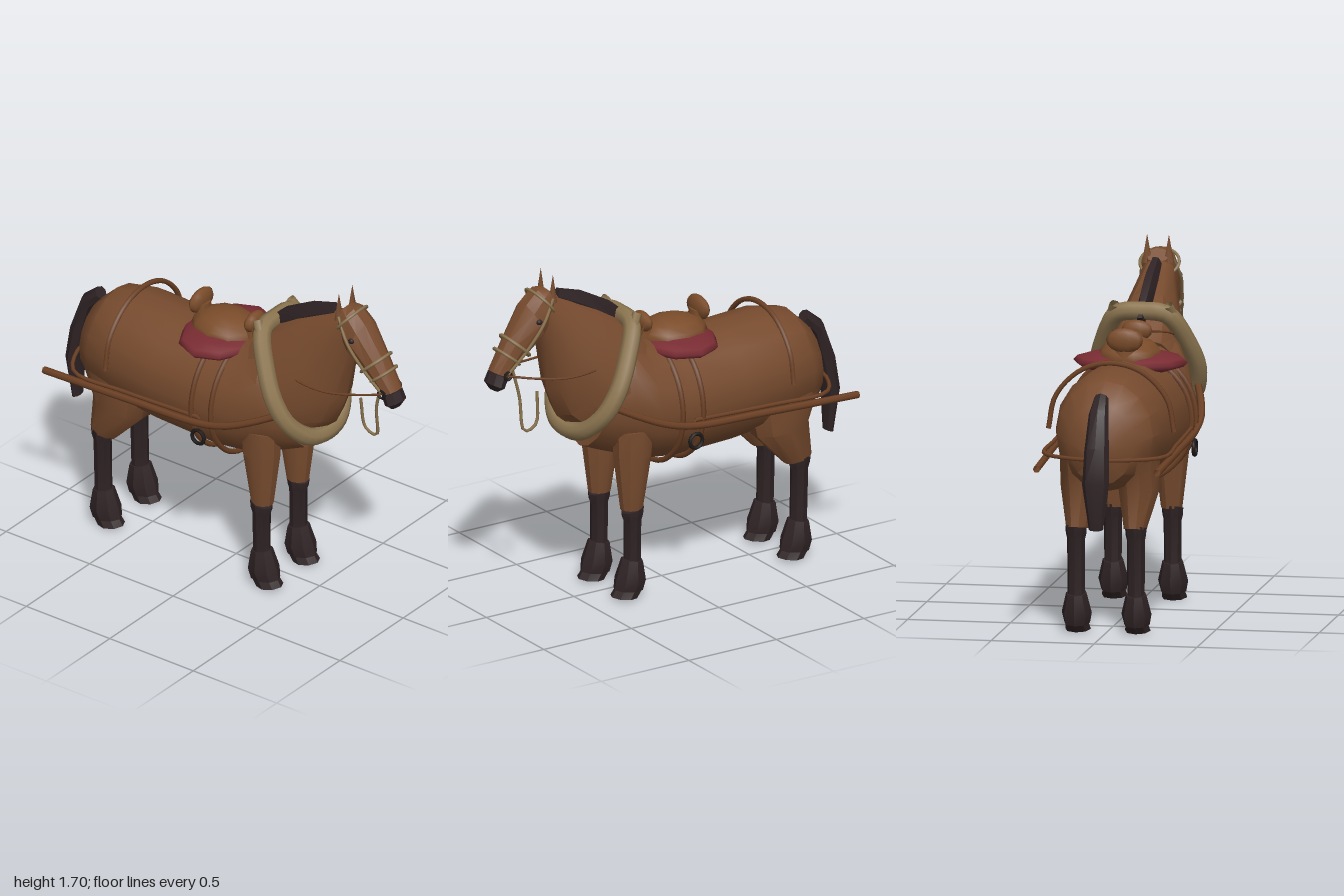
import * as THREE from 'three';
import { toCreasedNormals } from 'three/addons/utils/BufferGeometryUtils.js';

const mat = (name, color) => new THREE.MeshStandardMaterial({ name, color, side: THREE.DoubleSide });
const M = {
  coat: mat('coat brown', 0x774b2e),
  dark: mat('mane and hoof dark', 0x2f2325),
  tan: mat('collar tan', 0x8c7550),
  leather: mat('harness leather', 0x6d4125),
  saddle: mat('saddle leather', 0x7a4c2a),
  red: mat('blanket red', 0x792c33),
  iron: mat('iron', 0x1f1a1a),
};

// A section is [z, y, z, y, halfWidth]: two opposite points on the midline and a half width.
function ringPoint([az, ay, bz, by, w], t, x = 0) {
  const c = Math.cos(t), s = Math.sin(t);
  return new THREE.Vector3(x + w * c, (ay + by) / 2 + (ay - by) / 2 * s, (az + bz) / 2 + (az - bz) / 2 * s);
}

// Skin over a row of elliptical sections, closed at both ends
function loft(sections, sides, x = 0, crease = 0.6) {
  const pos = [], idx = [], n = sections.length;
  sections.forEach(s => {
    for (let j = 0; j < sides; j++) pos.push(...ringPoint(s, j / sides * Math.PI * 2, x).toArray());
  });
  for (let i = 0; i < n - 1; i++) {
    for (let j = 0; j < sides; j++) {
      const a = i * sides + j, b = i * sides + (j + 1) % sides;
      idx.push(a, b, b + sides, a, b + sides, a + sides);
    }
  }
  const last = (n - 1) * sides;
  for (let j = 1; j < sides - 1; j++) idx.push(0, j + 1, j, last, last + j, last + j + 1);
  const g = new THREE.BufferGeometry();
  g.setAttribute('position', new THREE.Float32BufferAttribute(pos, 3));
  g.setIndex(idx);
  return toCreasedNormals(g, crease);
}

export function createModel() {
  const root = new THREE.Group();
  root.name = 'harnessedHorse';

  const add = (name, geo, material, p = [0, 0, 0], s = [1, 1, 1], r = [0, 0, 0]) => {
    const m = new THREE.Mesh(geo, material);
    m.name = name;
    m.position.set(...p);
    m.scale.set(...s);
    m.rotation.set(...r);
    root.add(m);
    return m;
  };
  const tube = (name, pts, r, material, closed = false, sides = 6) => {
    const curve = new THREE.CatmullRomCurve3(pts.map(p => p.isVector3 ? p : new THREE.Vector3(...p)), closed, 'centripetal');
    return add(name, new THREE.TubeGeometry(curve, pts.length * 4, r, sides, closed), material);
  };
  const hoop = (name, section, r, material) => {
    const pts = [];
    for (let i = 0; i < 12; i++) pts.push(ringPoint(section, i / 12 * Math.PI * 2));
    return tube(name, pts, r, material, true, 5);
  };
  const mirrored = (pts, k) => pts.map(([x, y, z]) => [x * k, y, z]);
  const blob = new THREE.SphereGeometry(1, 10, 8);

  // Trunk, neck and head
  add('body', loft([
    [-0.87, 0.99, -0.865, 0.83, 0.07], [-0.81, 1.13, -0.83, 0.74, 0.16],
    [-0.71, 1.225, -0.74, 0.70, 0.235], [-0.55, 1.255, -0.57, 0.67, 0.268],
    [-0.3, 1.24, -0.33, 0.645, 0.28], [0, 1.235, 0, 0.632, 0.283],
    [0.18, 1.27, 0.16, 0.65, 0.27], [0.25, 1.33, 0.35, 0.72, 0.235],
    [0.32, 1.28, 0.47, 0.77, 0.18],
  ], 16), M.coat);
  add('neck', loft([
    [0.14, 1.29, 0.42, 0.80, 0.22], [0.24, 1.38, 0.60, 0.95, 0.19],
    [0.38, 1.47, 0.66, 1.10, 0.145], [0.55, 1.55, 0.70, 1.32, 0.10],
    [0.64, 1.59, 0.73, 1.44, 0.08],
  ], 12), M.coat);
  add('head', loft([
    [0.68, 1.63, 0.62, 1.57, 0.055], [0.725, 1.632, 0.64, 1.48, 0.085],
    [0.795, 1.57, 0.70, 1.38, 0.095], [0.90, 1.40, 0.795, 1.30, 0.073],
    [0.978, 1.26, 0.885, 1.215, 0.056],
  ], 10), M.coat);
  add('muzzle', loft([
    [0.98, 1.255, 0.885, 1.215, 0.054], [1.0, 1.205, 0.91, 1.165, 0.06], [0.975, 1.165, 0.94, 1.155, 0.035],
  ], 8), M.dark);

  // Mane along the crest, and the tail
  add('mane', loft([
    [0.18, 1.38, 0.24, 1.32, 0.02], [0.29, 1.48, 0.35, 1.36, 0.035],
    [0.45, 1.565, 0.5, 1.45, 0.035], [0.59, 1.605, 0.62, 1.53, 0.028],
  ], 6), M.dark);
  add('tail', loft([
    [-0.79, 1.13, -0.83, 1.185, 0.035], [-0.855, 1.06, -0.91, 1.12, 0.048],
    [-0.895, 0.9, -0.975, 0.94, 0.06], [-0.925, 0.75, -1.0, 0.77, 0.065],
    [-0.93, 0.55, -0.97, 0.54, 0.035],
  ], 8), M.dark);

  for (const k of [1, -1]) {
    const side = k > 0 ? 'left' : 'right';

    // Ears and eyes
    add(side + 'Ear', new THREE.ConeGeometry(0.027, 0.14, 6), M.coat, [k * 0.053, 1.632, 0.655], [1, 1, 0.7]);
    add(side + 'Eye', blob, M.dark, [k * 0.088, 1.49, 0.755], [0.012, 0.014, 0.016]);

    // Legs: upper leg, dark shank, feathered fetlock, hoof
    add(side + 'FrontLegUpper', loft([
      [0.36, 0.86, 0.14, 0.86, 0.085], [0.355, 0.72, 0.16, 0.72, 0.085], [0.32, 0.45, 0.205, 0.45, 0.052],
    ], 10, k * 0.14), M.coat);
    add(side + 'HindLegUpper', loft([
      [-0.38, 0.86, -0.80, 0.86, 0.10], [-0.43, 0.67, -0.735, 0.70, 0.10], [-0.61, 0.49, -0.757, 0.52, 0.055],
    ], 10, k * 0.14), M.coat);
    for (const [leg, top, foot, y] of [['Front', 0.263, 0.263, 0.455], ['Hind', -0.69, -0.685, 0.52]]) {
      const x = k * 0.145, z = foot;
      add(side + leg + 'Shank', loft([
        [top + 0.055, y - 0.02, top - 0.06, y + 0.01, 0.052], [top + 0.052, y - 0.05, top - 0.055, y - 0.03, 0.05],
        [top + 0.043, y - 0.07, top - 0.045, y - 0.06, 0.044], [z + 0.043, 0.17, z - 0.043, 0.17, 0.042],
      ], 8, x), M.dark);
      add(side + leg + 'Fetlock', loft([
        [z + 0.055, 0.20, z - 0.055, 0.18, 0.05], [z + 0.09, 0.10, z - 0.068, 0.09, 0.073],
        [z + 0.10, 0.05, z - 0.055, 0.035, 0.062],
      ], 8, x), M.dark);
      add(side + leg + 'Hoof', loft([
        [z + 0.09, 0.055, z - 0.05, 0.035, 0.055], [z + 0.115, 0.016, z - 0.02, 0.0, 0.062],
      ], 8, x), M.dark);
    }

    // Cart shaft with its iron ring
    tube(side + 'Shaft', mirrored([
      [0.235, 1.03, 0.43], [0.275, 0.965, 0.30], [0.30, 0.91, 0.17], [0.305, 0.872, 0.02],
      [0.302, 0.85, -0.4], [0.293, 0.825, -0.93],
    ], k), 0.018, M.leather);
    add(side + 'ShaftRing', new THREE.TorusGeometry(0.036, 0.01, 6, 12), M.iron, [k * 0.302, 0.79, 0], [1, 1, 1], [0, Math.PI / 2, 0]);

    // Collar horn
    tube(side + 'CollarHorn', mirrored([[0.17, 1.33, 0.29], [0.13, 1.435, 0.225]], k), 0.024, M.tan);

    // Bit ring, cheek strap and rein
    add(side + 'BitRing', new THREE.TorusGeometry(0.02, 0.007, 5, 10), M.iron, [k * 0.064, 1.24, 0.918], [1, 1, 1], [0, Math.PI / 2, 0]);
    tube(side + 'CheekStrap', mirrored([
      [0.07, 1.585, 0.665], [0.098, 1.48, 0.735], [0.085, 1.36, 0.82], [0.064, 1.25, 0.915],
    ], k), 0.008, M.tan, false, 5);
    tube(side + 'Rein', mirrored([
      [0.066, 1.24, 0.915], [0.115, 1.215, 0.78], [0.155, 1.2, 0.63], [0.16, 1.215, 0.46],
      [0.14, 1.30, 0.24], [0.04, 1.325, 0.12],
    ], k), 0.006, M.leather, false, 5);
  }

  // Padded collar, a tilted closed loop
  const half = [[0.12, 1.385], [0.2, 1.25], [0.24, 1.1], [0.215, 0.985], [0.12, 0.895]];
  const slope = ([x, y]) => [x, y, 0.23 + (1.42 - y) * 0.56];
  tube('collar', [
    [0, 1.4], ...half, [0, 0.87], ...half.slice().reverse().map(([x, y]) => [-x, y]),
  ].map(slope), 0.045, M.tan, true, 8);

  // Bridle bands and the hanging lead
  hoop('browBand', [0.745, 1.62, 0.645, 1.50, 0.095], 0.008, M.tan);
  hoop('upperNoseBand', [0.90, 1.42, 0.775, 1.305, 0.083], 0.009, M.tan);
  hoop('lowerNoseBand', [0.938, 1.36, 0.83, 1.27, 0.074], 0.008, M.tan);
  tube('leadStrap', [
    [0.015, 1.24, 0.86], [0.02, 1.1, 0.825], [0.04, 0.93, 0.81], [0.04, 0.95, 0.745], [0.025, 1.11, 0.727],
  ], 0.008, M.tan, false, 5);

  // Girths, hip strap and breeching
  hoop('frontGirth', [0.07, 1.235, 0.07, 0.622, 0.294], 0.014, M.leather);
  hoop('rearGirth', [-0.045, 1.235, -0.045, 0.622, 0.296], 0.014, M.leather);
  const hip = [[0.305, 0.96], [0.27, 1.12], [0.15, 1.245]];
  tube('hipStrap', [...hip, [0, 1.285], ...hip.slice().reverse().map(([x, y]) => [-x, y])]
    .map(([x, y]) => [x, y, -0.555]), 0.013, M.leather);
  const breech = [[0.295, 0.895, 0], [0.298, 0.88, -0.45], [0.285, 0.87, -0.75], [0.13, 0.87, -0.86]];
  tube('breeching', [...breech, [0, 0.87, -0.885], ...mirrored(breech, -1).reverse()], 0.01, M.leather);

  // Saddle and blanket
  add('blanket', blob, M.red, [0, 1.21, -0.055], [0.278, 0.055, 0.205]);
  add('saddleSeat', blob, M.saddle, [0, 1.235, -0.06], [0.155, 0.095, 0.18]);
  add('pommel', blob, M.saddle, [0, 1.33, 0.11], [0.075, 0.05, 0.033]);
  add('pommelNeck', new THREE.CylinderGeometry(0.035, 0.05, 0.12, 8), M.saddle, [0, 1.27, 0.1]);
  add('cantle', blob, M.saddle, [0, 1.335, -0.21], [0.09, 0.06, 0.032]);
  add('cantleNeck', new THREE.CylinderGeometry(0.045, 0.06, 0.12, 8), M.saddle, [0, 1.27, -0.195], [1, 1, 0.6]);

  return root;
}
